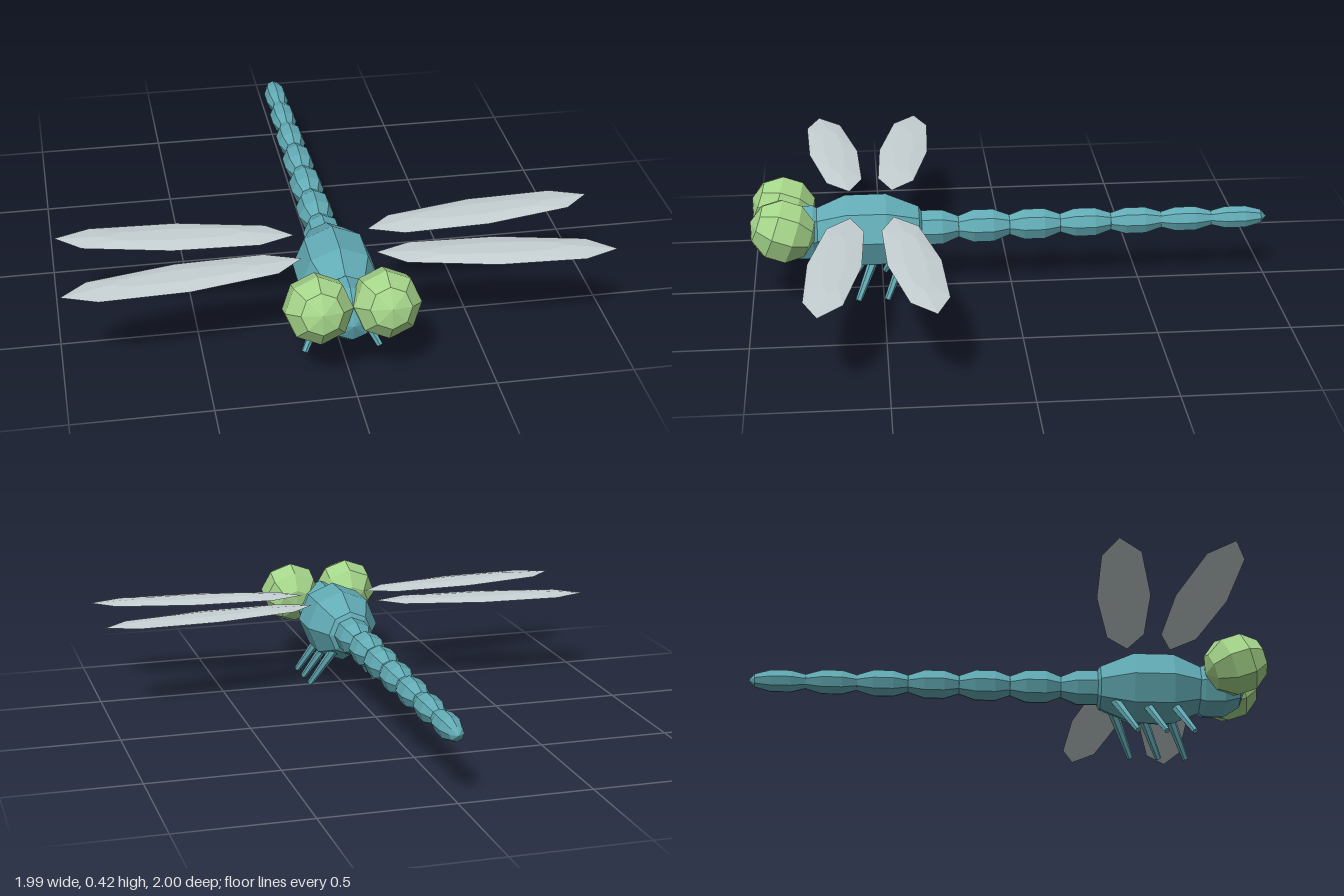
import * as THREE from 'three';
import { ConvexGeometry } from 'three/addons/geometries/ConvexGeometry.js';

export function createModel() {
  const model = new THREE.Group();
  model.name = 'dragonfly';

  const mat = (name, color) => {
    const m = new THREE.MeshStandardMaterial({ color, flatShading: true });
    m.name = name;
    return m;
  };
  const teal = mat('body teal', 0x62abb5);
  const green = mat('eye green', 0xa5d58a);
  const grey = mat('wing grey', 0xc6d0d3);

  const add = (name, geometry, material) => {
    const mesh = new THREE.Mesh(geometry, material);
    mesh.name = name;
    model.add(mesh);
    return mesh;
  };

  // Faceted barrel: eight sides, five bands, poles along z
  const barrel = (radius, halfLength) =>
    new THREE.SphereGeometry(1, 8, 5).rotateX(Math.PI / 2).scale(radius, radius, halfLength);

  // Thorax and head
  add('thorax', barrel(0.153, 0.25), teal).position.set(0, 0.243, 0.56);
  add('head', barrel(0.115, 0.125), teal).position.set(0, 0.24, 0.80);

  // Abdomen: seven tapering segments towards the tail
  for (let i = 0; i < 7; i++) {
    const radius = 0.075 - 0.0046 * i;
    add('abdomenSegment' + (i + 1), barrel(radius, 0.125), teal)
      .position.set(0, 0.243, 0.307 - 0.197 * i);
  }

  // Half of a wing outline (x, z) about its centre; the other half is point-symmetric
  const halfOutline = [[0.43, -0.06], [0.3, -0.11], [-0.017, -0.097], [-0.335, -0.028]];
  const outline = [...halfOutline, ...halfOutline.map(([x, z]) => [-x, -z])];
  const wing = (side, flip) => {
    const points = [];
    for (const [x, z] of outline) {
      points.push(new THREE.Vector3(side * x, 0, flip * z));
      for (const y of [-0.011, 0.011]) {
        points.push(new THREE.Vector3(side * x * 0.6, y, flip * z * 0.4));
      }
    }
    return new ConvexGeometry(points);
  };

  // Tapered leg between two points
  const leg = (top, foot) => {
    const dir = new THREE.Vector3().subVectors(top, foot);
    const geometry = new THREE.CylinderGeometry(0.021, 0.012, dir.length(), 6);
    geometry.applyQuaternion(new THREE.Quaternion().setFromUnitVectors(
      new THREE.Vector3(0, 1, 0), dir.clone().normalize()));
    const mid = top.clone().add(foot).multiplyScalar(0.5);
    return geometry.translate(mid.x, mid.y, mid.z);
  };

  for (const side of [1, -1]) {
    const label = side > 0 ? 'left' : 'right';

    // Large round eyes, tilted slightly upwards
    const eye = add(label + 'Eye', barrel(0.126, 0.126), green);
    eye.position.set(side * 0.12, 0.298, 0.875);
    eye.rotation.x = -0.35;

    // Wings
    add(label + 'RearWing', wing(side, 1), grey).position.set(side * 0.565, 0.348, 0.395);
    add(label + 'FrontWing', wing(side, -1), grey).position.set(side * 0.565, 0.348, 0.68);

    // Three legs, feet reaching forwards and outwards
    [0.705, 0.598, 0.488].forEach((z, i) => {
      const top = new THREE.Vector3(side * 0.045, 0.18, z - 0.08);
      const foot = new THREE.Vector3(side * 0.138, 0.007, z);
      add(label + 'Leg' + (i + 1), leg(top, foot), teal);
    });
  }
  return model;
}
